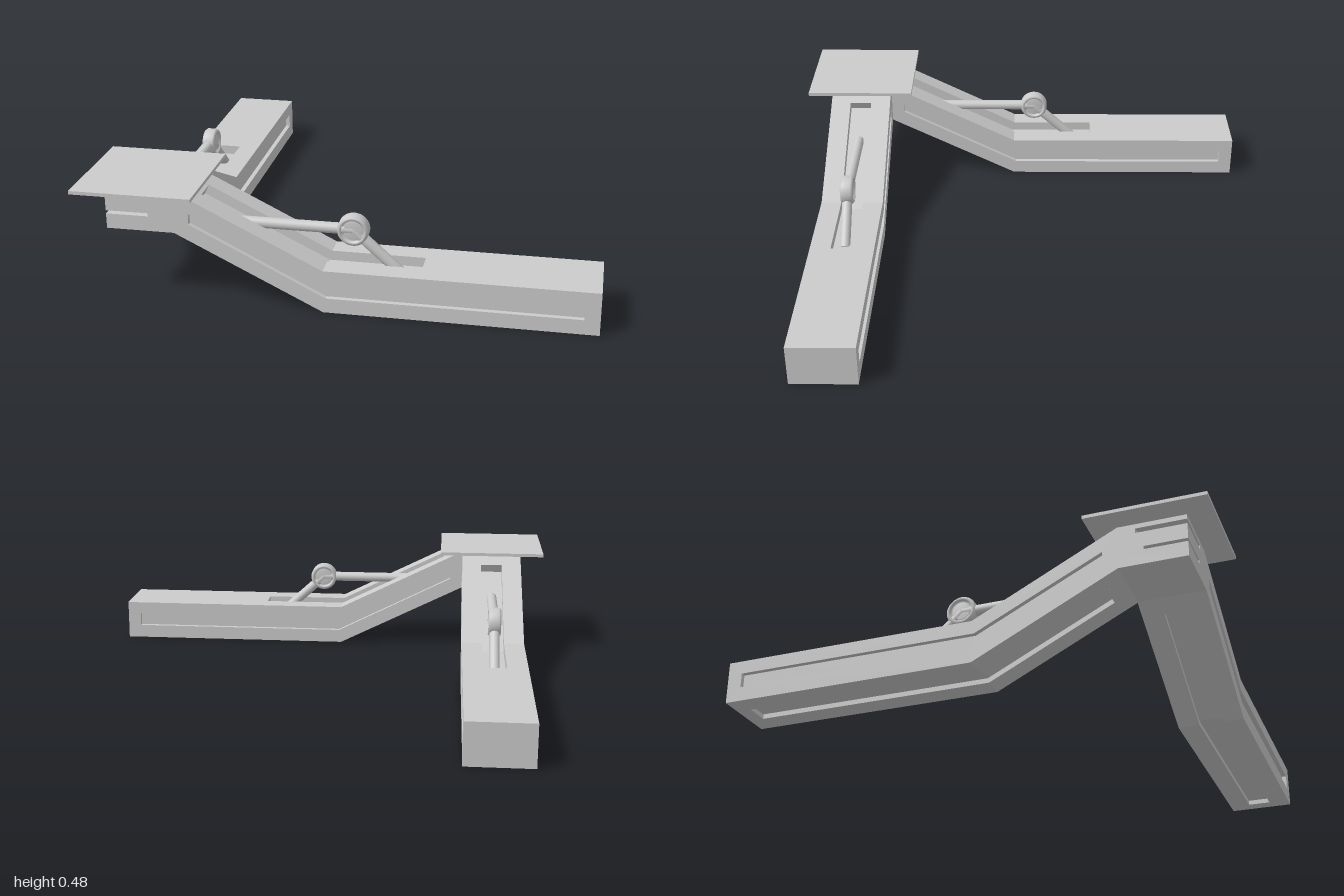
import * as THREE from 'three';

const material = new THREE.MeshStandardMaterial({ color: 0xcccccc });
const HALF = 0.136;     // half width of an arm
const SLOT = 0.048;     // half width of the top and bottom channels
const GROOVE = 0.02;    // depth of the side grooves
const CENTRE = 0.7625;  // distance of each arm's centre line from the axes

function add(group, name, geometry) {
  const mesh = new THREE.Mesh(geometry, material);
  mesh.name = name;
  group.add(mesh);
  return mesh;
}

const toPoints = (list) => list.map(([x, y]) => new THREE.Vector2(x, y));

// Extrudes a side profile between two z positions
function slab(points, z0, z1, hole) {
  const shape = new THREE.Shape(toPoints(points));
  if (hole) shape.holes.push(new THREE.Path(toPoints(hole)));
  const geometry = new THREE.ExtrudeGeometry(shape, { depth: z1 - z0, bevelEnabled: false });
  return geometry.translate(0, 0, z0);
}

function rod(group, name, from, to, radius) {
  const a = new THREE.Vector3(...from), b = new THREE.Vector3(...to);
  const mesh = add(group, name, new THREE.CylinderGeometry(radius, radius, a.distanceTo(b), 24));
  mesh.position.copy(a).lerp(b, 0.5);
  mesh.quaternion.setFromUnitVectors(new THREE.Vector3(0, 1, 0), b.sub(a).normalize());
}

function createArm(name) {
  const arm = new THREE.Group();
  arm.name = name;

  const outline = [[-0.63, 0.288], [-0.05, 0], [1, 0], [1, 0.175], [-0.05, 0.175], [-0.63, 0.463]];
  const sideGroove = [[-0.57, 0.327], [-0.04, 0.06], [0.94, 0.06], [0.94, 0.12], [-0.06, 0.12], [-0.57, 0.37]];
  // Middle layer, notched above and below
  const channelled = [
    [-0.63, 0.288], [-0.56, 0.253], [-0.551, 0.271], [-0.045, 0.02], [0.94, 0.02], [0.94, 0],
    [1, 0], [1, 0.175], [0.32, 0.175], [0.32, 0.135], [-0.06, 0.135],
    [-0.558, 0.382], [-0.54, 0.418], [-0.63, 0.463],
  ];
  add(arm, 'armCore', slab(channelled, -SLOT, SLOT));
  for (const s of [-1, 1]) {
    const layer = (a, b) => [Math.min(s * a, s * b), Math.max(s * a, s * b)];
    add(arm, 'armRail', slab(outline, ...layer(SLOT, HALF - GROOVE)));
    add(arm, 'groovedSide', slab(outline, ...layer(HALF - GROOVE, HALF), sideGroove));
  }

  // Folding strut with a round pivot
  const pivot = [0.045, 0.297, 0];
  rod(arm, 'upperStrut', [-0.4, 0.297, 0], pivot, 0.022);
  rod(arm, 'lowerStrut', pivot, [0.235, 0.125, 0], 0.022);
  const profile = toPoints([
    [0, -0.02], [0.036, -0.02], [0.036, -0.016], [0.046, -0.016], [0.046, -0.027], [0.055, -0.027], [0.062, -0.018],
    [0.062, 0.018], [0.055, 0.027], [0.046, 0.027], [0.046, 0.016], [0.036, 0.016], [0.036, 0.02], [0, 0.02],
  ]);
  const hub = add(arm, 'pivotWheel', new THREE.LatheGeometry(profile, 40).rotateX(Math.PI / 2));
  hub.position.set(...pivot);
  return arm;
}

// Corner block built of layers, two of them cut back to form wrap-round slots
function createCornerBlock() {
  const block = new THREE.Group();
  block.name = 'cornerBlock';
  const lo = -0.8985, hi = -0.6265, cut = 0.03;
  // Footprint in x and -z
  const full = [[lo, lo], [hi, lo], [hi, hi], [lo, hi]];
  const notched = (end) => [
    [lo + cut, lo + cut], [end - 0.01, lo + cut], [end, lo + cut / 2], [end, lo],
    [hi, lo], [hi, hi], [lo, hi], [lo, end], [lo + cut / 2, end], [lo + cut, end - 0.01],
  ];
  const layers = [
    [0.288, 0.349, full], [0.349, 0.362, notched(-0.73)], [0.362, 0.425, full],
    [0.425, 0.444, notched(-0.7)], [0.444, 0.463, full],
  ];
  for (const [y0, y1, footprint] of layers) {
    add(block, 'blockLayer', slab(footprint, y0, y1).rotateX(-Math.PI / 2));
  }
  return block;
}

export function createModel() {
  const model = new THREE.Group();
  model.name = 'cornerFrame';

  const sideArm = createArm('sideArm');
  sideArm.position.z = CENTRE;
  const backArm = createArm('backArm');
  backArm.rotation.y = Math.PI / 2;
  backArm.position.x = -CENTRE;
  model.add(sideArm, backArm, createCornerBlock());

  const plate = add(model, 'topPlate', new THREE.BoxGeometry(0.475, 0.014, 0.475));
  plate.position.set(-0.7625, 0.47, 0.7625);
  return model;
}
